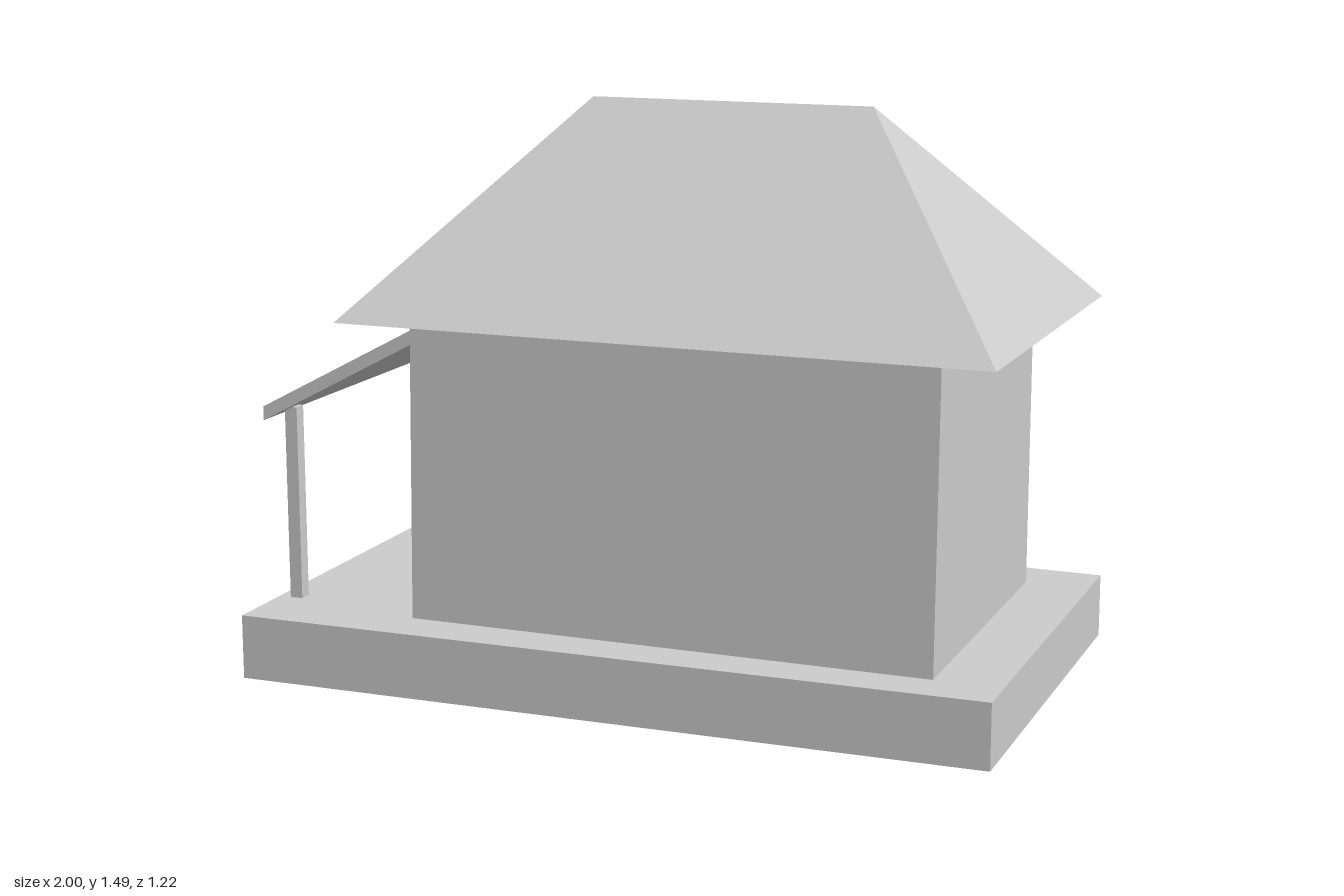
import * as THREE from 'three';

const material = new THREE.MeshStandardMaterial({ color: 0xcccccc, flatShading: true, side: THREE.DoubleSide });

// Four-cornered level loop, counter-clockwise from above, starting front at x0.
// The half widths may differ between the x0 end and the x1 end.
function loop(y, x0, x1, front0, back0, front1 = front0, back1 = back0) {
  return [[x0, y, front0], [x1, y, front1], [x1, y, back1], [x0, y, back0]]
    .map((p) => new THREE.Vector3(...p));
}

// Joins successive loops with flat faces, leaving out zero-area triangles.
function skin(name, loops) {
  const points = [];
  const area = new THREE.Triangle();
  const add = (a, b, c) => {
    if (area.set(a, b, c).getArea() > 1e-7) points.push(a, b, c);
  };
  for (let k = 0; k + 1 < loops.length; k++) {
    const lower = loops[k], upper = loops[k + 1];
    for (let i = 0; i < 4; i++) {
      const j = (i + 1) % 4;
      add(lower[i], lower[j], upper[j]);
      add(lower[i], upper[j], upper[i]);
    }
  }
  const geometry = new THREE.BufferGeometry().setFromPoints(points);
  geometry.computeVertexNormals();
  const mesh = new THREE.Mesh(geometry, material);
  mesh.name = name;
  return mesh;
}

export function createModel() {
  const house = new THREE.Group();
  house.name = 'house';
  const x0 = -0.575, x1 = 0.825;

  // Hollow plinth, slightly tapered, open under the walls
  const wallFoot = loop(0.17, x0, x1, 0.466, -0.447);
  house.add(skin('plinth', [
    loop(0, -1, 1, 0.607, -0.61, 0.58, -0.585),
    loop(0.17, -1, 1, 0.607, -0.61, 0.58, -0.585),
    wallFoot,
  ]));

  // Walls, the front leaning in a little, running up into the roof
  house.add(skin('walls', [wallFoot, loop(0.95, x0, x1, 0.447, -0.447), loop(0.99, x0, x1, 0.446, -0.446)]));

  // Hipped roof with a flat eave rim and a sloping underside
  house.add(skin('roof', [
    loop(1.435, -0.255, 0.51, 0, 0),
    loop(0.953, -0.685, 0.935, 0.5, -0.5),
    loop(0.953, -0.735, 0.985, 0.555, -0.555),
    loop(1.493, -0.255, 0.51, 0, 0),
  ]));

  // Sloping porch roof: a box sheared downward and widened toward its outer edge
  const porch = new THREE.BoxGeometry(1, 0.037, 1);
  const pos = porch.attributes.position;
  for (let i = 0; i < pos.count; i++) {
    const t = pos.getX(i) + 0.5;
    pos.setXYZ(i,
      THREE.MathUtils.lerp(-1, x0, t),
      pos.getY(i) + THREE.MathUtils.lerp(0.68, 0.907, t),
      pos.getZ(i) * THREE.MathUtils.lerp(0.93, 0.894, t));
  }
  porch.computeVertexNormals();
  const porchRoof = new THREE.Mesh(porch, material);
  porchRoof.name = 'porchRoof';
  house.add(porchRoof);

  // Porch posts, set a little way through the plinth top
  for (const side of [1, -1]) {
    const post = new THREE.Mesh(new THREE.BoxGeometry(0.035, 0.59, 0.035), material);
    post.name = side > 0 ? 'frontPorchPost' : 'backPorchPost';
    post.position.set(-0.95, 0.395, side * 0.393);
    house.add(post);
  }
  return house;
}
